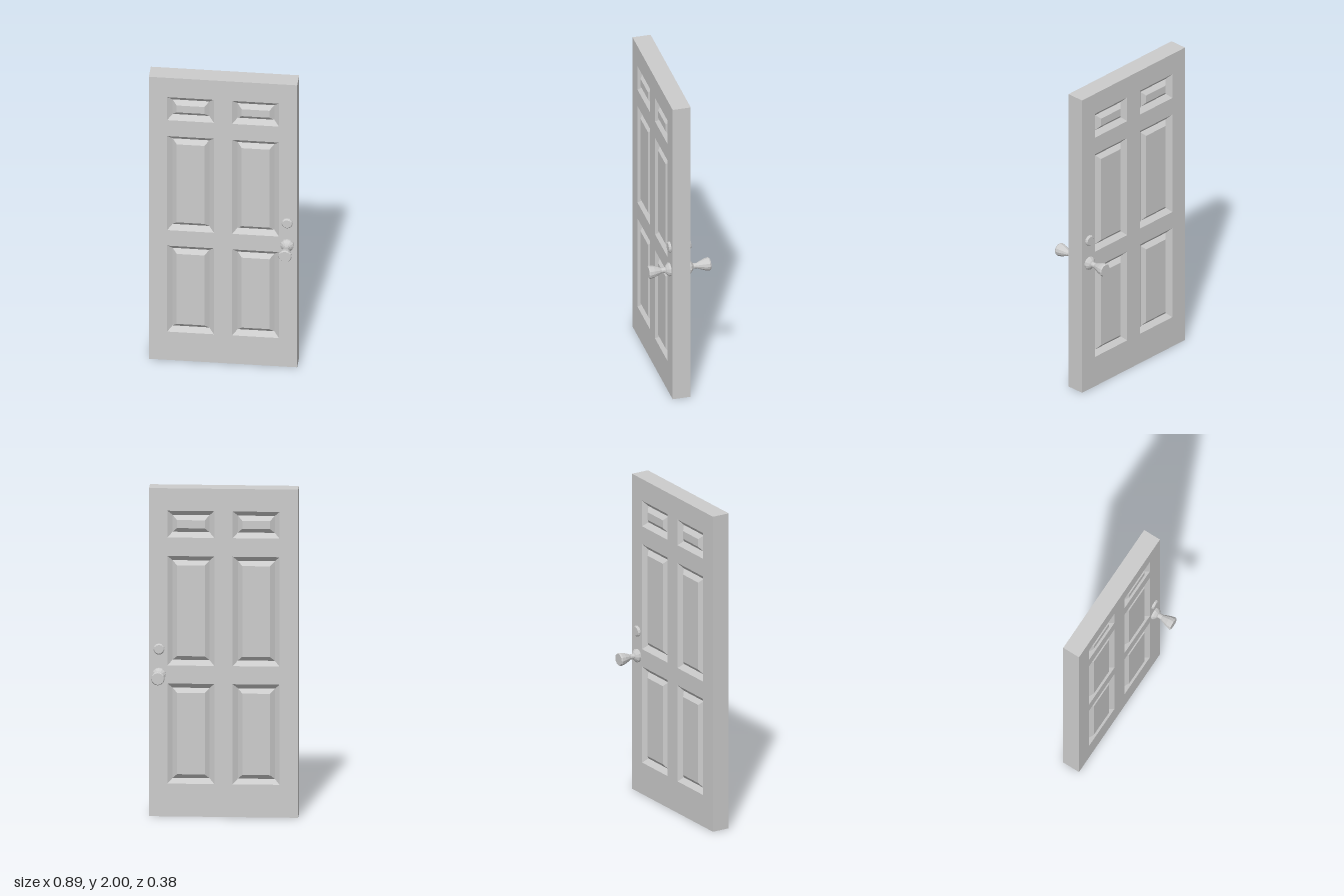
import * as THREE from 'three';

const W = 0.445, H = 2, T = 0.056;      // half width, height, half thickness
const material = new THREE.MeshStandardMaterial({ color: 0xcccccc, flatShading: true });

function mesh(name, geometry) {
  const m = new THREE.Mesh(geometry, material);
  m.name = name;
  return m;
}

// Corners of a rectangle, counter-clockwise seen from +z
const corners = (x0, y0, x1, y1, z) => [[x0, y0, z], [x1, y0, z], [x1, y1, z], [x0, y1, z]];

// Skin a series of rectangles, optionally closing the last one
function loft(rings, cap) {
  const pos = [];
  const quad = (a, b, c, d) => pos.push(...a, ...b, ...c, ...a, ...c, ...d);
  for (let r = 0; r < rings.length - 1; r++) {
    const o = rings[r], n = rings[r + 1];
    for (let i = 0; i < 4; i++) {
      const j = (i + 1) % 4;
      quad(o[i], o[j], n[j], n[i]);
    }
  }
  if (cap) quad(...rings[rings.length - 1]);
  const g = new THREE.BufferGeometry();
  g.setAttribute('position', new THREE.Float32BufferAttribute(pos, 3));
  g.computeVertexNormals();
  return g;
}

// The six panels as [x0, y0, x1, y1]
const panels = [];
for (const [y0, y1] of [[0.2, 0.81], [0.92, 1.587], [1.7, 1.863]]) {
  for (const [x0, x1] of [[-0.335, -0.055], [0.055, 0.335]]) panels.push([x0, y0, x1, y1]);
}

// One face of the door: flat frame plus grooved, raised panels
function doorFace(name) {
  const face = new THREE.Group();
  face.name = name;
  const toPoints = (r) => corners(...r, 0).map(([x, y]) => new THREE.Vector2(x, y));
  const shape = new THREE.Shape(toPoints([-W, 0, W, H]));
  for (const p of panels) shape.holes.push(new THREE.Path(toPoints(p).reverse()));
  const frame = mesh('frame', new THREE.ShapeGeometry(shape));
  frame.position.z = T;
  face.add(frame);

  // Inset and depth of each step of the panel moulding
  const steps = [[0, 0], [0.03, 0.026], [0.057, 0.003]];
  for (const [x0, y0, x1, y1] of panels) {
    const rings = steps.map(([s, d]) => corners(x0 + s, y0 + s, x1 - s, y1 - s, T - d));
    face.add(mesh('panel', loft(rings, true)));
  }
  return face;
}

// Turned part whose axis points along +z, profile given as [radius, z]
function turned(name, profile, x, y) {
  const points = profile.map(([r, z]) => new THREE.Vector2(r, z));
  const g = new THREE.LatheGeometry(points, 12);
  g.rotateX(Math.PI / 2);
  const m = mesh(name, g);
  m.position.set(x, y, 0);
  return m;
}

// Knob and lock for one side
function hardware(name, x) {
  const set = new THREE.Group();
  set.name = name;
  set.add(
    turned('knobRose', [[0.041, T], [0.041, 0.068], [0.026, 0.081], [0.0165, 0.086]], x, 0.865),
    turned('knob', [[0.0165, 0.085], [0.0165, 0.11], [0.025, 0.129], [0.036, 0.158],
      [0.041, 0.183], [0.036, 0.191], [0, 0.191]], x, 0.865),
    turned('lock', [[0.034, T], [0.034, 0.063], [0.027, 0.07], [0, 0.07]], x, 1.02)
  );
  return set;
}

export function createModel() {
  const door = new THREE.Group();
  door.name = 'door';

  // Outer edges of the slab
  door.add(mesh('edges', loft([corners(-W, 0, W, H, -T), corners(-W, 0, W, H, T)], false)));

  // Both faces and their hardware; the back is the front turned around
  const front = new THREE.Group(), back = new THREE.Group();
  front.name = 'frontSide';
  back.name = 'backSide';
  front.add(doorFace('frontFace'), hardware('frontHardware', 0.385));
  back.add(doorFace('backFace'), hardware('backHardware', -0.385));
  back.rotation.y = Math.PI;
  door.add(front, back);
  return door;
}
